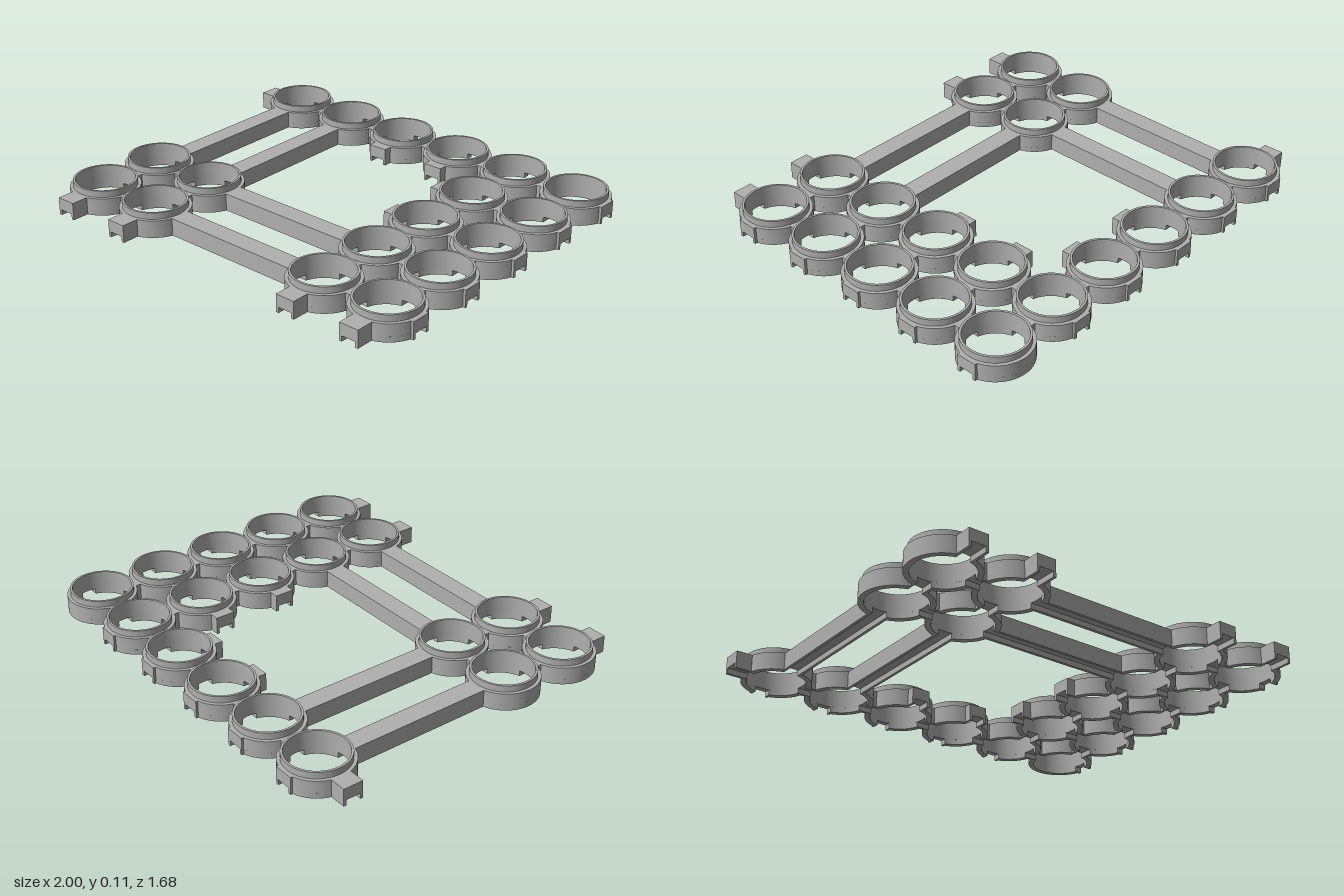
import * as THREE from 'three';
import { toCreasedNormals } from 'three/addons/utils/BufferGeometryUtils.js';

const PITCH = 0.3225, X0 = -0.775, Z0 = -0.683;
const R_IN = 0.132, R_LIP = 0.142, R_OUT = 0.157;   // bore, upper lip, body
const GROOVE_H = 0.025, BODY_H = 0.08, TOP = 0.11;
const HALF_BAR = 0.046, HALF_GROOVE = 0.033;
const EAST = 0, NORTH = 1, WEST = 2, SOUTH = 3;      // quarter turns: +x, -z, -x, +z

// columns holding a ring, for each row from back to front
const ROWS = [[0, 1, 2, 3, 4, 5], [4, 5], [4, 5], [0, 1, 4, 5], [0, 1, 4, 5]];

export function createModel() {
  const model = new THREE.Group();
  const grey = new THREE.MeshStandardMaterial({ color: 0xb0b0b0 });
  grey.name = 'grey plastic';

  function add(parent, name, geometry) {
    const mesh = new THREE.Mesh(geometry, grey);
    mesh.name = name;
    parent.add(mesh);
    return mesh;
  }

  // stepped ring above the groove level
  const v = (x, y) => new THREE.Vector2(x, y);
  const collarGeometry = toCreasedNormals(new THREE.LatheGeometry([
    v(R_IN, GROOVE_H), v(R_OUT, GROOVE_H), v(R_OUT, BODY_H), v(R_LIP, BODY_H),
    v(R_LIP, TOP), v(R_IN, TOP), v(R_IN, GROOVE_H),
  ], 72), 0.6);

  // piece of the ring's foot between two notches
  function footGeometry(from, to) {
    const outer = Math.asin(HALF_GROOVE / R_OUT), inner = Math.asin(HALF_GROOVE / R_IN);
    const shape = new THREE.Shape();
    shape.absarc(0, 0, R_OUT, from + outer, to - outer, false);
    shape.absarc(0, 0, R_IN, to - inner, from + inner, true);
    shape.closePath();
    const segments = Math.max(14, Math.ceil((to - from) * 11));
    const g = new THREE.ExtrudeGeometry(shape,
      { depth: GROOVE_H, bevelEnabled: false, curveSegments: segments });
    g.rotateX(-Math.PI / 2);
    return toCreasedNormals(g, 0.6);
  }

  // bar with a groove along its underside
  const barShape = new THREE.Shape([
    v(-HALF_BAR, 0), v(-HALF_GROOVE, 0), v(-HALF_GROOVE, GROOVE_H), v(HALF_GROOVE, GROOVE_H),
    v(HALF_GROOVE, 0), v(HALF_BAR, 0), v(HALF_BAR, BODY_H), v(-HALF_BAR, BODY_H),
  ]);
  function addBar(name, ring, dir, end) {
    const start = 0.15;
    const g = new THREE.ExtrudeGeometry(barShape, { depth: end - start, bevelEnabled: false });
    g.translate(0, 0, start);
    g.rotateY((dir + 1) * Math.PI / 2);
    add(model, name, g).position.set(ring.x, 0, ring.z);
    ring.notches.add(dir);
  }

  const rings = ROWS.flatMap((cols, row) => cols.map((col) => (
    { row, col, x: X0 + col * PITCH, z: Z0 + row * PITCH, notches: new Set() })));

  for (const ring of rings) {
    const { row, col } = ring;
    const sameRow = rings.filter((r) => r.row === row);
    const sameCol = rings.filter((r) => r.col === col);

    // bridges and long beams to the next ring, or end pieces at the border
    const link = (next, dir, distance) => {
      addBar(distance > 0.5 ? 'beam' : 'bridge', ring, dir, distance - 0.15);
      next.notches.add((dir + 2) % 4);
    };
    const right = sameRow.find((r) => r.col > col);
    if (right) link(right, EAST, right.x - ring.x);
    else addBar('sidePad', ring, EAST, 0.162);

    const front = sameCol.find((r) => r.row > row);
    if (front) link(front, SOUTH, front.z - ring.z);
    else addBar('frontStub', ring, SOUTH, row === 0 ? 0.188 : 0.229);

    if (sameRow[0] === ring && row < 3) addBar('sideStub', ring, WEST, row === 0 ? 0.225 : 0.192);
    if (row === 0 && col < 5) addBar('backPad', ring, NORTH, 0.16);
  }

  // rings with notched feet
  for (const ring of rings) {
    const group = new THREE.Group();
    group.name = 'ring';
    group.position.set(ring.x, 0, ring.z);
    add(group, 'collar', collarGeometry);
    const dirs = [...ring.notches].sort();
    dirs.forEach((dir, i) => {
      const next = i + 1 < dirs.length ? dirs[i + 1] : dirs[0] + 4;
      add(group, 'foot', footGeometry(dir * Math.PI / 2, next * Math.PI / 2));
    });
    model.add(group);
  }
  return model;
}
